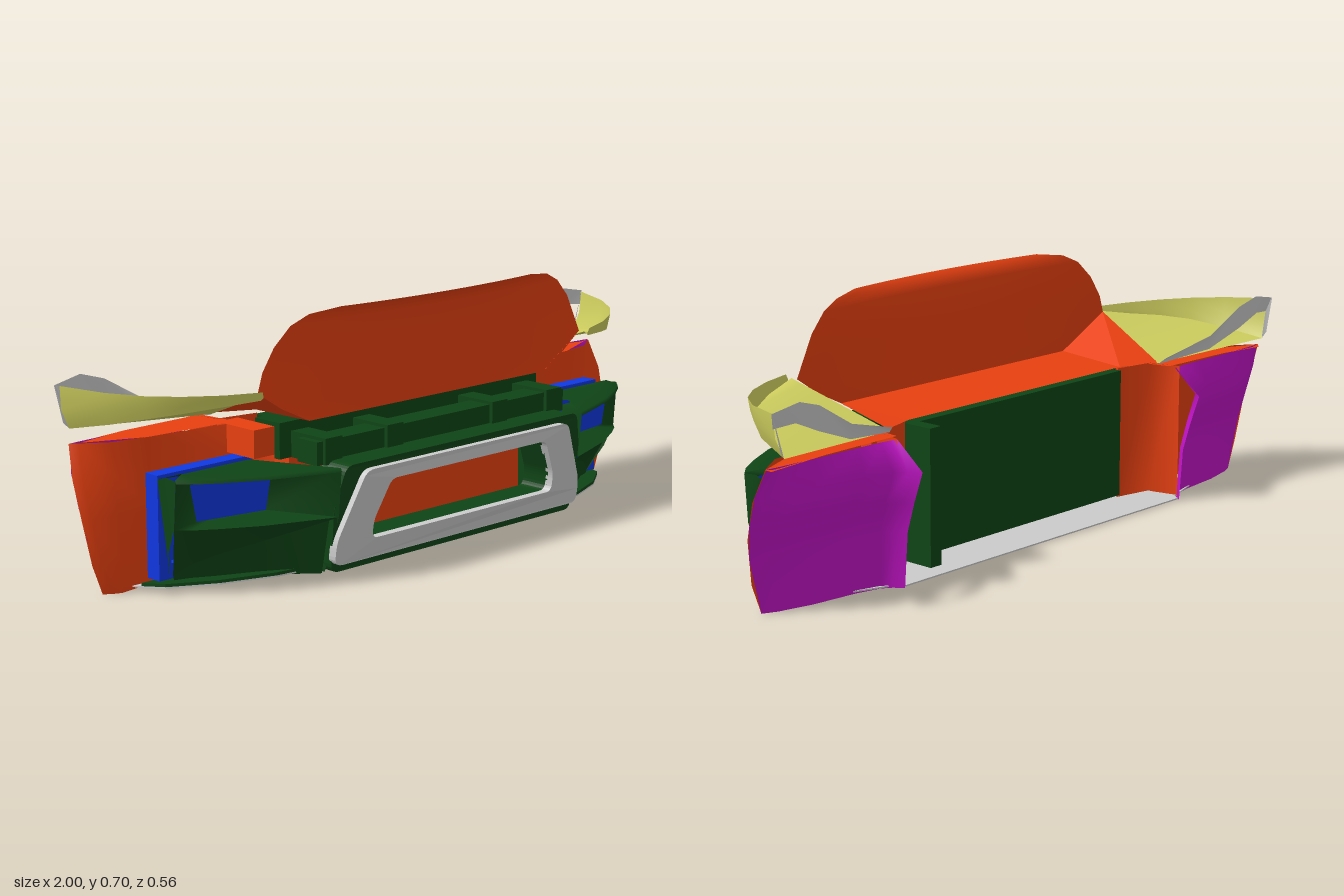
import * as THREE from 'three';

const ORANGE = 0xe84010, GREEN = 0x0f4416, BLUE = 0x1038e0, MAGENTA = 0xc414c8, YELLOW = 0xd0d060, GREY = 0xcccccc;

export function createModel() {
  const model = new THREE.Group();

  function add(name, geometry, color, flatShading = false) {
    const mesh = new THREE.Mesh(geometry, new THREE.MeshStandardMaterial({ color, flatShading, side: THREE.DoubleSide }));
    mesh.name = name;
    model.add(mesh);
  }

  // Box given by its two opposite corners
  function box(name, x0, x1, y0, y1, z0, z1, color) {
    const g = new THREE.BoxGeometry(Math.abs(x1 - x0), y1 - y0, z1 - z0);
    g.translate((x0 + x1) / 2, (y0 + y1) / 2, (z0 + z1) / 2);
    add(name, g, color);
  }

  // Surface through rows of points; s = -1 mirrors it
  function loft(name, rows, color, s = 1, flat = false) {
    const n = rows[0].length, index = [];
    const g = new THREE.BufferGeometry();
    const points = rows.flat().flatMap(([x, y, z]) => [x * s, y, z]);
    g.setAttribute('position', new THREE.Float32BufferAttribute(points, 3));
    for (let i = 0; i < rows.length - 1; i++) {
      for (let j = 0; j < n - 1; j++) {
        const a = i * n + j, b = a + 1, c = a + n, d = c + 1;
        index.push(a, b, d, a, d, c);
      }
    }
    g.setIndex(index);
    g.computeVertexNormals();
    add(name, g, color, flat);
  }

  // Symmetric closed point list from its right half
  const mirrored = half => [...half, ...half.slice().reverse().map(([x, y]) => [-x, y])].map(p => new THREE.Vector2(...p));

  // Symmetric outline with rounded corners
  function outline(half, r, Type = THREE.Shape) {
    const pts = mirrored(half), path = new Type();
    pts.forEach((p, i) => {
      const prev = pts[(i + pts.length - 1) % pts.length], next = pts[(i + 1) % pts.length];
      const a = p.clone().add(prev.clone().sub(p).setLength(r));
      const b = p.clone().add(next.clone().sub(p).setLength(r));
      if (i) path.lineTo(a.x, a.y); else path.moveTo(a.x, a.y);
      path.quadraticCurveTo(p.x, p.y, b.x, b.y);
    });
    path.closePath();
    return path;
  }

  // Bumper rings lean forward towards the top
  function ring(name, outer, inner, depth, zFront, color) {
    const shape = outline(outer, 0.025);
    shape.holes.push(outline(inner, 0.02, THREE.Path));
    const g = new THREE.ExtrudeGeometry(shape, { depth, bevelEnabled: false, curveSegments: 5 });
    const p = g.attributes.position;
    for (let i = 0; i < p.count; i++) {
      const x = p.getX(i), y = p.getY(i);
      p.setZ(i, p.getZ(i) - depth + zFront + (y - 0.05) * 0.14 - x * x * 0.06);
    }
    g.computeVertexNormals();
    add(name, g, color);
  }

  // Bonnet: upright curled panel running down into the tray
  const bonnet = [[0.697, 0.36, 0.185], [0.685, 0.45, 0.162], [0.66, 0.505, 0.152], [0.61, 0.555, 0.145], [0.55, 0.59, 0.14],
    [0.5, 0.61, 0.138], [0.45, 0.535, 0.133], [0.406, 0.445, 0.13]];
  loft('bonnetPanel', bonnet.map(([y, w, z]) => Array.from({ length: 17 }, (_, i) => {
    const u = i / 8 - 1;
    return [u * w, y, z - Math.min(0.025, (y - 0.406) * 0.2) * u * u];
  })), ORANGE);
  loft('bonnetTray', [0, 1].map(t => [
    [-0.61 + 0.07 * t, 0.5 - 0.1 * t, 0.12 - 0.26 * t],
    [-0.445 + 0.02 * t, 0.406 - 0.01 * t, 0.13 - 0.23 * t],
    [0.445 - 0.02 * t, 0.406 - 0.01 * t, 0.13 - 0.23 * t],
    [0.61 - 0.07 * t, 0.5 - 0.1 * t, 0.12 - 0.26 * t]]), ORANGE, 1, true);

  // Radiator block and cross beams
  box('radiatorBack', -0.43, 0.43, 0.02, 0.385, -0.1, -0.03, GREEN);
  box('radiatorTop', -0.49, 0.49, 0.3, 0.396, -0.03, 0.065, GREEN);
  box('radiatorFace', -0.44, 0.44, 0.02, 0.3, -0.03, 0.045, ORANGE);
  box('upperBeam', -0.47, 0.47, 0.3, 0.362, 0.11, 0.185, GREEN);
  for (const x of [-0.42, -0.2, 0.2, 0.42]) {
    box('beamBracket', x - 0.03, x + 0.03, 0.3, 0.37, 0.06, 0.195, GREEN);
  }

  // Central bumper opening
  const hole = [[0.345, 0.1], [0.345, 0.15], [0.295, 0.255]];
  ring('bumperShell', [[0.46, 0.022], [0.47, 0.2], [0.44, 0.31]], hole, 0.09, 0.24, GREEN);
  ring('grilleFrame', [[0.465, 0.045], [0.465, 0.11], [0.385, 0.292]], hole, 0.025, 0.257, GREY);

  // Floor plate and splitter, rising slightly to the front
  const rim = [[0.56, 0.21], [0.57, 0.19], [0.88, 0.095], [0.86, 0.05], [0.83, -0.01], [0.72, -0.09], [0.58, -0.15], [0.35, -0.185], [0.12, -0.195]];
  function plate(name, half, y, depth, color) {
    const g = new THREE.ExtrudeGeometry(new THREE.Shape(mirrored(half)), { depth, bevelEnabled: false });
    g.rotateX(-Math.PI / 2 - 0.06);
    g.translate(0, y, 0);
    add(name, g, color);
  }
  plate('floorPlate', rim, 0.0135, 0.004, GREY);
  plate('splitter', rim.slice(3), 0.0175, 0.008, GREEN);

  for (const s of [1, -1]) {
    // Front fender skin, from beside the radiator round to the wheel arch
    const skin = [[0, 0.945, -0.1], [0.08, 0.975, -0.1], [0.2, 0.995, -0.112], [0.3, 1, -0.138], [0.385, 0.985, -0.17]];
    loft('fenderSkin', skin.map(([y, x, z]) => {
      const low = Math.max(0.018, y), lean = Math.max(0, y - 0.13);
      return [[0.49, low, 0.045], [0.53, low, -0.058], [0.8, Math.max(0.01, y), -0.068 - lean * 0.1],
        [0.9, y, -0.075 - lean * 0.14], [x - 0.02, y, z + 0.015], [x, y, z]];
    }), ORANGE, s);
    box('fenderBracket', s * 0.49, s * 0.56, 0.31, 0.385, -0.1, 0.045, ORANGE);
    loft('fenderTop', [[[0.53, 0.388, -0.06], [0.8, 0.385, -0.09], [0.985, 0.385, -0.17]],
      [[0.55, 0.39, -0.18], [0.8, 0.388, -0.18], [0.975, 0.38, -0.18]]], ORANGE, s);
    loft('innerPanel', [0.01, 0.39].map(y => [[0.43, y, -0.09], [0.55, y, -0.11], [0.57, y, -0.2]]), ORANGE, s);

    // Wheel arch liner, flaring back at its inner edge
    const arch = [[0, 0.945, -0.1, -0.215], [0.15, 0.985, -0.104, -0.226], [0.23, 0.997, -0.12, -0.25],
      [0.315, 0.998, -0.145, -0.28], [0.385, 0.98, -0.17, -0.192]];
    const flare = [[0, 0], [0.1, 0.15], [0.35, 0.35], [0.7, 0.48], [0.88, 0.62], [0.95, 0.78], [1, 1]];
    loft('archLiner', arch.map(([y, x, zo, zi]) => flare.map(([t, f]) =>
      [x + (0.56 - x) * t, y, zo + (zi - zo) * f])), MAGENTA, s);

    // Lamp unit: plate with raised frame, and a lens set forward in the duct
    box('lampPlate', s * 0.52, s * 0.835, 0.03, 0.285, -0.055, -0.03, BLUE);
    for (const [x0, x1, y0, y1] of [[0.52, 0.56, 0.03, 0.305], [0.795, 0.835, 0.03, 0.305], [0.56, 0.795, 0.03, 0.07], [0.56, 0.795, 0.275, 0.305]]) {
      box('lampFrame', s * x0, s * x1, y0, y1, -0.055, -0.008, BLUE);
    }
    const edge = [[0.46, 0.255], [0.55, 0.222], [0.65, 0.185], [0.75, 0.13], [0.81, 0.09], [0.84, 0.06]];
    const windowRow = (y, w) => edge.map((_, i) => [0.675 + w * (i / 2.5 - 1), y, 0.105 - i * 0.007]);
    loft('lampLens', [windowRow(0.19, 0.1), windowRow(0.288, 0.12)], BLUE, s);

    // Side duct: creased lower skin, and a tunnel narrowing from the mouth to the lens
    const foot = [[0.47, 0.2], [0.53, 0.15], [0.6, 0.1], [0.69, 0.05], [0.75, 0.01], [0.79, -0.005]];
    const at = (pts, y, dz = 0) => pts.map(([x, z]) => [x, y, z + dz]);
    const crease = foot.map(([x, z], i) => [x + 0.006 * (i + 1) * (1 - i / 6), 0.168 - 0.026 * i, z + 0.035 * (1 - i / 5.5)]);
    loft('ductLowerSide', [at(foot, 0.02), crease], GREEN, s);
    loft('ductBulge', [crease, at(edge, 0.178)], GREEN, s);
    const loop = (low, high) => [...low, ...high.slice().reverse(), low[0]];
    loft('ductTunnel', [
      loop(at(edge, 0.178), at(edge, 0.302, 0.01)),
      loop(windowRow(0.19, 0.1), windowRow(0.288, 0.12))], GREEN, s);
    loft('ductRoof', [at(edge, 0.298, 0.012), at(edge, 0.308, 0.008),
      edge.map(([x, z]) => [x * 0.7 + 0.21, 0.313, z * 0.55 + 0.01]),
      edge.map(([x]) => [x * 0.8 + 0.165, 0.296, -0.006])], GREEN, s);
    loft('ductOuterWall', [[[0.84, 0.178, 0.06], [0.84, 0.305, 0.07]], [[0.835, 0.11, 0.03], [0.838, 0.308, 0.03]],
      [[0.8, 0.03, -0.008], [0.835, 0.295, -0.008]]], GREEN, s);
    loft('ductInnerWall', [[[0.46, 0.022, 0.2], [0.455, 0.18, 0.25]],
      [[0.5, 0.022, -0.01], [0.5, 0.18, -0.01]]], GREEN, s);

    // Upper wing: hollow bowl dropping towards its open rear
    const wing = [[0.62, 0.15, 0], [0.72, 0.115, 0.1], [0.81, 0.065, 0.25], [0.88, 0.005, 0.42], [0.94, -0.08, 0.68], [0.985, -0.2, 1]];
    loft('wingFloor', wing.map(([x, z, t]) => [
      [0.61 - 0.07 * t, 0.5 - 0.105 * t, 0.14 - 0.285 * t],
      [x - 0.03 * t, 0.488 - 0.075 * t, z - 0.006]]), YELLOW, s);
    loft('wingOuterSkin', wing.map(([x, z, t]) => [[x, 0.51 + 0.018 * t, z],
      [x - 0.005, 0.495 - 0.03 * t, z - 0.003], [x - 0.03 * t, 0.488 - 0.075 * t, z - 0.006]]), YELLOW, s);
    loft('wingRearLip', [[[0.54, 0.392, -0.145], [0.55, 0.41, -0.165]], [[0.72, 0.415, -0.19], [0.72, 0.455, -0.195]],
      [[0.84, 0.46, -0.205], [0.84, 0.525, -0.208]], [[0.92, 0.495, -0.21], [0.91, 0.546, -0.214]],
      [[0.985, 0.49, -0.2], [0.995, 0.53, -0.208]]], GREY, s);
    loft('wingEndCap', [[[0.985, 0.528, -0.2], [0.995, 0.53, -0.21]], [[0.955, 0.413, -0.205], [0.97, 0.43, -0.21]]], GREY, s);
  }

  // Single upright fin behind the radiator
  box('rearFin', 0.4, 0.44, 0.02, 0.39, -0.19, -0.1, GREEN);
  return model;
}
